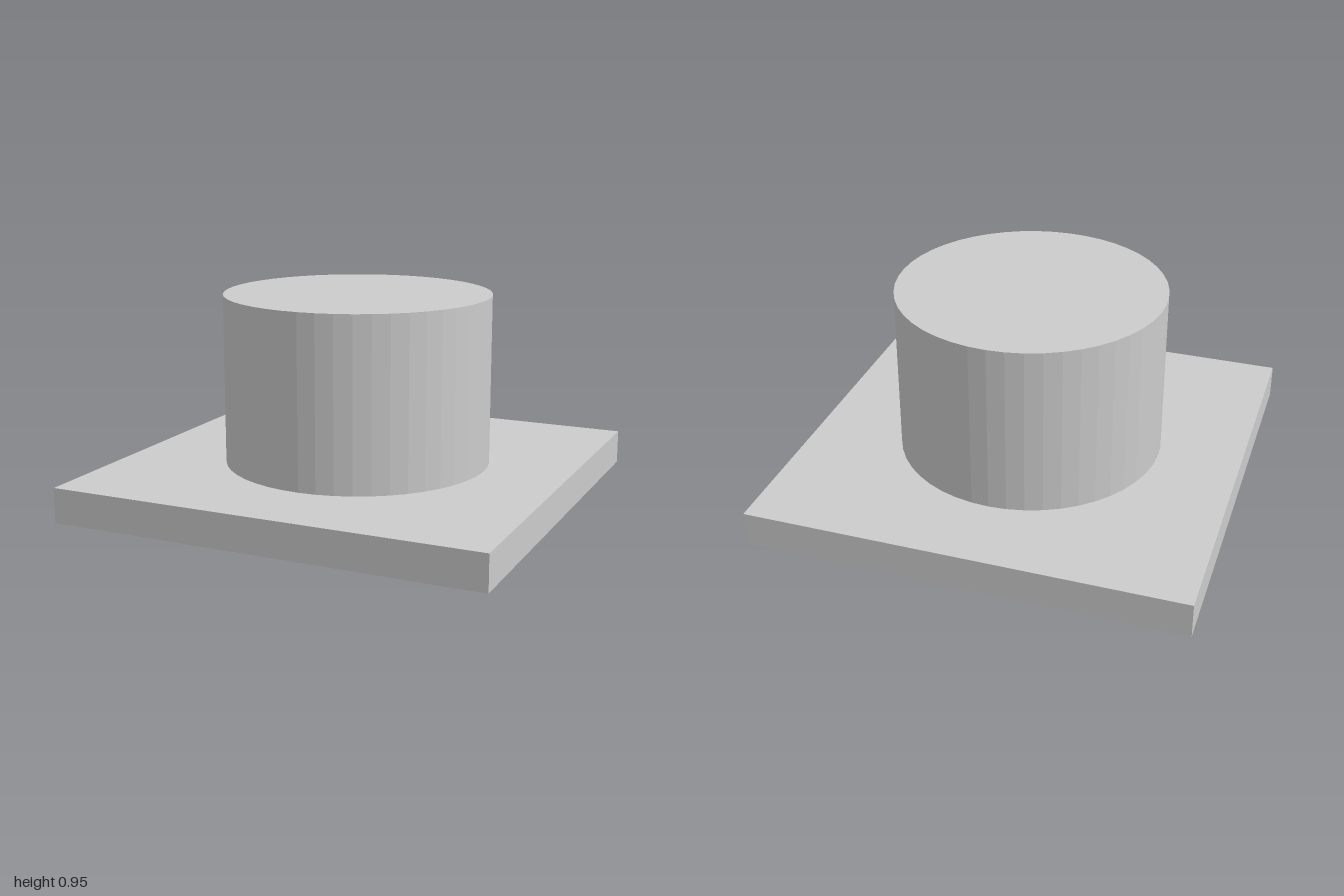
import * as THREE from 'three';

export function createModel() {
  const model = new THREE.Group();
  const material = new THREE.MeshStandardMaterial({ color: 0xcccccc, flatShading: true });
  const plateHeight = 0.16;
  const totalHeight = 0.947;
  const bossHeight = totalHeight - plateHeight;

  // Square base plate
  const plate = new THREE.Mesh(new THREE.BoxGeometry(2, plateHeight, 2), material);
  plate.name = 'basePlate';
  plate.position.y = plateHeight / 2;
  model.add(plate);

  // Faceted round boss standing on the plate
  const boss = new THREE.Mesh(new THREE.CylinderGeometry(0.618, 0.618, bossHeight, 48), material);
  boss.name = 'roundBoss';
  boss.position.y = plateHeight + bossHeight / 2;
  model.add(boss);

  return model;
}
